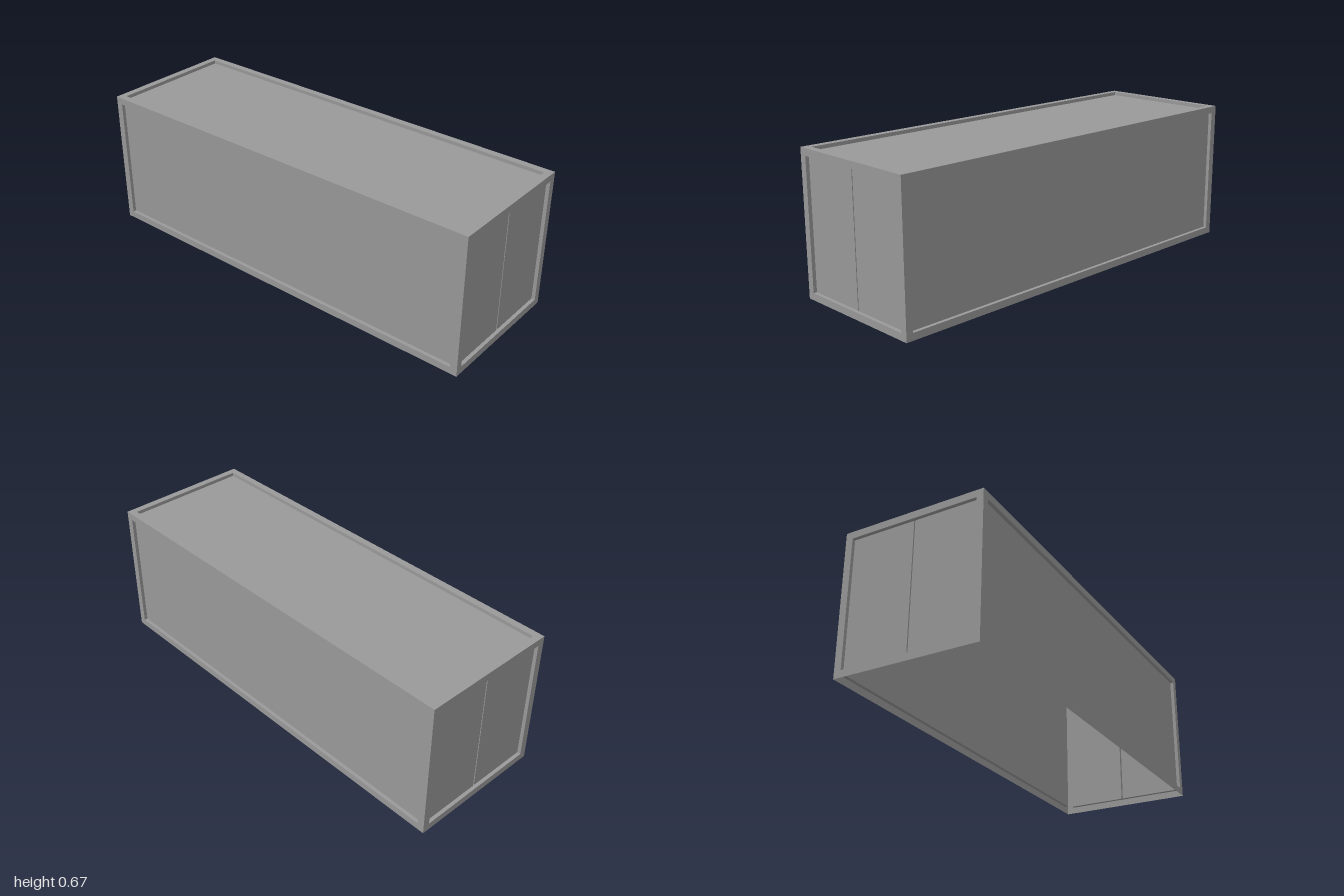
import * as THREE from 'three';

const W = 0.667, H = 0.667, L = 2; // overall width, height, length
const RIM = 0.033;                 // frame width
const DEPTH = 0.0167;              // recess depth
const GAP = 0.005;                 // groove between the doors

export function createModel() {
  const grey = new THREE.MeshStandardMaterial({ color: 0x999999, side: THREE.DoubleSide });
  grey.name = 'steelGrey';

  const add = (group, name, geometry) => {
    const mesh = new THREE.Mesh(geometry, grey);
    mesh.name = name;
    group.add(mesh);
    return mesh;
  };

  // flat sheet facing +z
  const sheet = (group, name, w, h, x, z) =>
    add(group, name, new THREE.PlaneGeometry(w, h)).position.set(x, 0, z);

  // four inward-facing walls of a rectangular recess, from depth z0 back to z1
  const recess = (group, name, w, h, z0, z1) => {
    const d = z0 - z1, zc = (z0 + z1) / 2;
    for (const s of [-1, 1]) {
      const side = add(group, name + 'Side', new THREE.PlaneGeometry(d, h));
      side.position.set(s * w / 2, 0, zc);
      side.rotation.y = -s * Math.PI / 2;
      const edge = add(group, name + 'Edge', new THREE.PlaneGeometry(w, d));
      edge.position.set(0, s * h / 2, zc);
      edge.rotation.x = s * Math.PI / 2;
    }
  };

  const rect = (path, w, h) => {
    path.moveTo(-w / 2, -h / 2);
    path.lineTo(w / 2, -h / 2);
    path.lineTo(w / 2, h / 2);
    path.lineTo(-w / 2, h / 2);
    path.closePath();
    return path;
  };

  // one framed face with a recessed panel, or a pair of doors
  const framedFace = (name, w, h, doors) => {
    const g = new THREE.Group();
    g.name = name;
    const iw = w - 2 * RIM, ih = h - 2 * RIM;
    const frame = rect(new THREE.Shape(), w, h);
    frame.holes.push(rect(new THREE.Path(), iw, ih));
    add(g, 'frame', new THREE.ShapeGeometry(frame));
    recess(g, 'recess', iw, ih, 0, -DEPTH);
    if (doors) {
      const dw = (iw - GAP) / 2;
      for (const s of [-1, 1])
        sheet(g, s < 0 ? 'doorA' : 'doorB', dw, ih, s * (GAP + dw) / 2, -DEPTH);
      recess(g, 'doorGap', GAP, ih, -DEPTH, -2 * DEPTH);
      sheet(g, 'doorGapBack', GAP, ih, 0, -2 * DEPTH);
    } else {
      sheet(g, 'panel', iw, ih, 0, -DEPTH);
    }
    return g;
  };

  const model = new THREE.Group();
  model.name = 'container';

  // ends with doors
  const front = framedFace('frontEnd', W, H, true);
  front.position.set(0, H / 2, L / 2);
  const back = framedFace('backEnd', W, H, true);
  back.position.set(0, H / 2, -L / 2);
  back.rotation.y = Math.PI;
  model.add(front, back);

  // long side walls
  for (const s of [-1, 1]) {
    const wall = framedFace(s > 0 ? 'leftWall' : 'rightWall', L, H, false);
    wall.position.set(s * W / 2, H / 2, 0);
    wall.rotation.y = s * Math.PI / 2;
    model.add(wall);
  }

  // roof; the underside stays open
  const roof = framedFace('roof', W, L, false);
  roof.position.y = H;
  roof.rotation.x = -Math.PI / 2;
  model.add(roof);

  return model;
}
